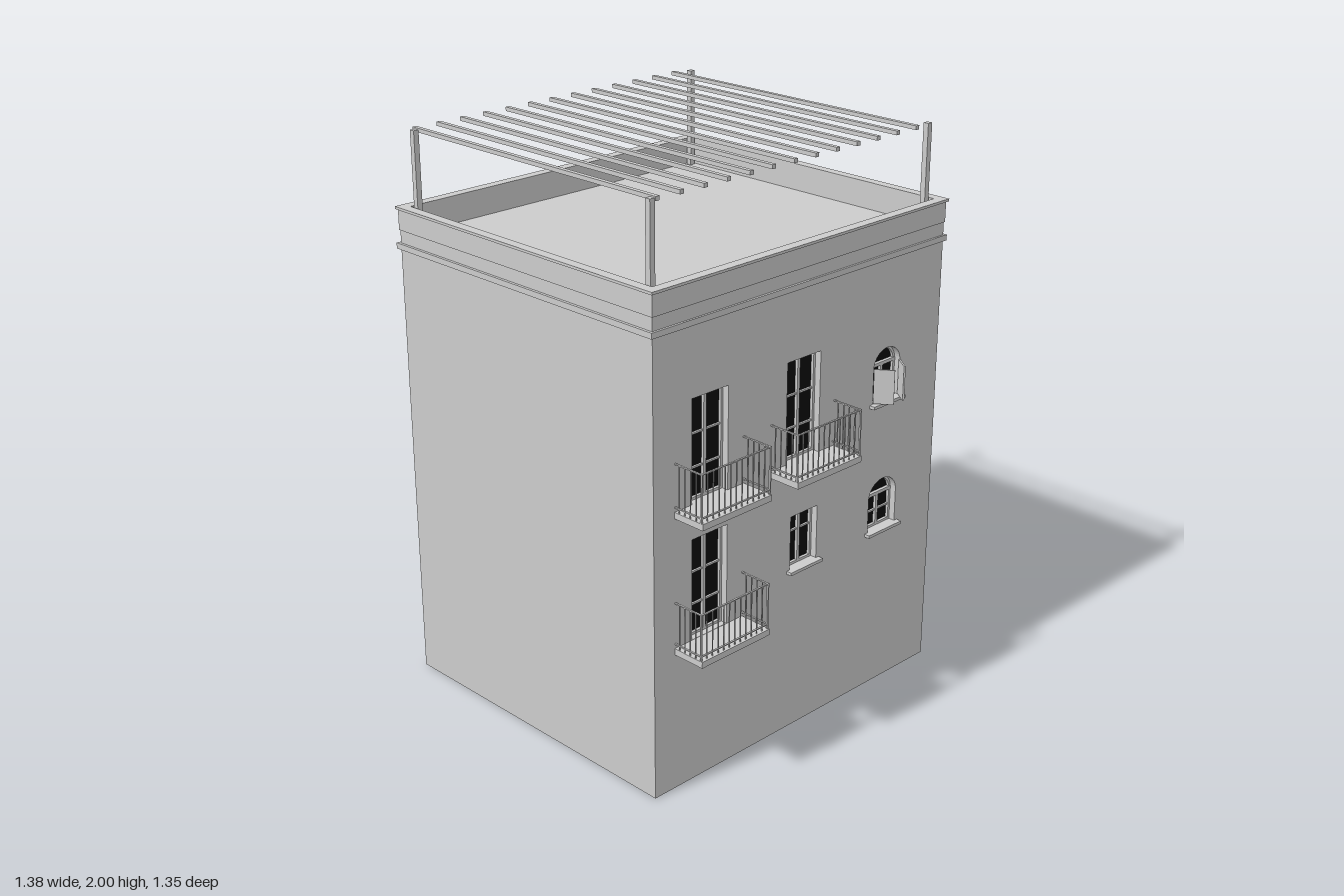
import * as THREE from 'three';

const plaster = new THREE.MeshStandardMaterial({ color: 0xcccccc });
plaster.name = 'plaster grey';
const glass = new THREE.MeshStandardMaterial({ color: 0x0d0d0d });
glass.name = 'dark glass';

const FRONT = 0.55, BACK = -0.663, RECESS = 0.035, HALF = 0.68;
const MID = (FRONT + BACK) / 2, DEPTH = FRONT - BACK;

function add(parent, name, geometry, material = plaster) {
  const mesh = new THREE.Mesh(geometry, material);
  mesh.name = name;
  parent.add(mesh);
  return mesh;
}

// Box given by its lower and upper bounds
function box(parent, name, x0, x1, y0, y1, z0, z1, material) {
  const m = add(parent, name, new THREE.BoxGeometry(x1 - x0, y1 - y0, z1 - z0), material);
  m.position.set((x0 + x1) / 2, (y0 + y1) / 2, (z0 + z1) / 2);
  return m;
}

function outline(target, x0, x1, y0, y1) {
  target.moveTo(x0, y0);
  target.lineTo(x1, y0);
  target.lineTo(x1, y1);
  target.lineTo(x0, y1);
  target.closePath();
  return target;
}

// Opening outline: straight sides up to the spring line, then an optional arch
function opening(target, o, inset = 0) {
  const x0 = o.x0 + inset, x1 = o.x1 - inset, y0 = o.y0 + inset, y1 = o.y1 - inset;
  if (!o.spring) return outline(target, x0, x1, y0, y1);
  target.moveTo(x0, y0);
  target.lineTo(x1, y0);
  target.lineTo(x1, o.spring);
  target.absellipse((x0 + x1) / 2, o.spring, (x1 - x0) / 2, y1 - o.spring, 0, Math.PI, false, 0);
  target.closePath();
  return target;
}

// Rectangular ring lying flat, used for the parapet and its cap
function ring(parent, name, outX, outZ, inX, inZ, y0, y1) {
  const shape = outline(new THREE.Shape(), -outX, outX, -outZ, outZ);
  shape.holes.push(outline(new THREE.Path(), -inX, inX, -inZ, inZ));
  const m = add(parent, name, new THREE.ExtrudeGeometry(shape, { depth: y1 - y0, bevelEnabled: false }));
  m.rotation.x = -Math.PI / 2;
  m.position.set(0, y0, MID);
}

// Glass, frame and glazing bars set back inside an opening
function glazing(parent, o) {
  const g = new THREE.Group();
  g.name = o.name;
  parent.add(g);
  const zBack = FRONT - RECESS;
  const pane = add(g, 'glass', new THREE.ShapeGeometry(opening(new THREE.Shape(), o), 10), glass);
  pane.position.z = zBack + 0.002;

  const frameShape = opening(new THREE.Shape(), o);
  frameShape.holes.push(opening(new THREE.Path(), o, 0.009));
  const frame = add(g, 'frame', new THREE.ExtrudeGeometry(frameShape, { depth: 0.012, bevelEnabled: false, curveSegments: 10 }));
  frame.position.z = zBack;

  const cx = (o.x0 + o.x1) / 2, top = o.spring || o.y1;
  box(g, 'centreStile', cx - 0.006, cx + 0.006, o.y0, top, zBack, zBack + 0.012);
  for (const y of o.bars)
    box(g, 'glazingBar', o.x0, o.x1, y - 0.003, y + 0.003, zBack, zBack + 0.009);
  if (o.spring) box(g, 'transom', o.x0, o.x1, o.spring - 0.006, o.spring + 0.006, zBack, zBack + 0.014);
  if (o.sill) box(g, 'sill', o.x0 - 0.014, o.x1 + 0.014, o.y0 - 0.011, o.y0, zBack, FRONT + 0.02);
}

// Slab with a railing on three sides
function balcony(parent, cx, top) {
  const g = new THREE.Group();
  g.name = 'balcony';
  parent.add(g);
  const w = 0.154, zOut = 0.665, r = 0.002;
  box(g, 'slab', cx - w, cx + w, top - 0.022, top, FRONT, 0.673);
  for (const y of [top + 0.016, top + 0.162]) {
    box(g, 'frontRail', cx - w, cx + w, y - r, y + r, zOut - 0.003, zOut + 0.003);
    for (const s of [-1, 1])
      box(g, 'sideRail', cx + s * (w - 0.003) - 0.003, cx + s * (w - 0.003) + 0.003, y - r, y + r, FRONT, zOut);
  }
  const bar = (x, z, t) => box(g, 'baluster', x - t, x + t, top, top + 0.162, z - t, z + t);
  for (let i = 0; i <= 12; i++) bar(cx - 0.151 + i * 0.302 / 12, zOut, i % 12 ? 0.0016 : 0.003);
  for (const s of [-1, 1])
    for (let i = 1; i <= 4; i++) bar(cx + s * 0.151, zOut - i * 0.024, 0.0016);
}

export function createModel() {
  const model = new THREE.Group();
  model.name = 'building';

  const openings = [
    { name: 'upperLeftDoor', x0: -0.515, x1: -0.357, y0: 0.997, y1: 1.352, bars: [1.105, 1.22] },
    { name: 'upperMiddleDoor', x0: -0.087, x1: 0.071, y0: 0.997, y1: 1.352, bars: [1.105, 1.22] },
    { name: 'lowerLeftDoor', x0: -0.515, x1: -0.357, y0: 0.52, y1: 0.876, bars: [0.628, 0.743] },
    { name: 'middleWindow', x0: -0.056, x1: 0.074, y0: 0.605, y1: 0.8, bars: [0.73], sill: true },
    { name: 'upperArchedWindow', x0: 0.342, x1: 0.478, y0: 1.086, y1: 1.275, spring: 1.212, bars: [1.15], sill: true },
    { name: 'lowerArchedWindow', x0: 0.342, x1: 0.486, y0: 0.605, y1: 0.792, spring: 0.728, bars: [0.665], sill: true },
  ];

  // Main block and pierced front wall
  box(model, 'mainBlock', -HALF, HALF, 0, 1.64, BACK, FRONT - RECESS);
  const wall = outline(new THREE.Shape(), -HALF, HALF, 0, 1.64);
  for (const o of openings) wall.holes.push(opening(new THREE.Path(), o));
  const facade = add(model, 'frontWall', new THREE.ExtrudeGeometry(wall, { depth: RECESS, bevelEnabled: false, curveSegments: 10 }));
  facade.position.z = FRONT - RECESS;

  // Cornice, parapet and cap
  const hz = DEPTH / 2;
  box(model, 'cornice', -0.69, 0.69, 1.59, 1.61, BACK - 0.012, FRONT + 0.008);
  ring(model, 'parapetBase', HALF, hz, 0.654, hz - 0.027, 1.64, 1.655);
  ring(model, 'parapet', 0.683, hz + 0.003, 0.654, hz - 0.027, 1.655, 1.727);
  ring(model, 'parapetCap', 0.69, hz + 0.01, 0.654, hz - 0.027, 1.727, 1.736);

  // Windows, doors and balconies
  for (const o of openings) glazing(model, o);
  balcony(model, -0.437, 0.997);
  balcony(model, -0.008, 0.997);
  balcony(model, -0.437, 0.519);

  // Half-open shutters on the upper arched window
  for (const s of [-1, 1]) {
    const hinge = new THREE.Group();
    hinge.name = 'shutter';
    hinge.position.set(0.41 + s * 0.066, 0, FRONT);
    hinge.rotation.y = s * 0.95;
    box(hinge, 'shutterPanel', s < 0 ? 0 : -0.07, s < 0 ? 0.07 : 0, 1.09, 1.214, -0.003, 0.003);
    model.add(hinge);
  }

  // Roof pergola: four posts carrying a row of slats
  for (const x of [-0.635, 0.635])
    for (const z of [0.497, -0.617])
      box(model, 'pergolaPost', x - 0.01, x + 0.01, 1.64, 1.995, z - 0.01, z + 0.01);
  for (let i = 0; i < 13; i++) {
    const x = -0.618 + i * 0.0984;
    box(model, 'pergolaSlat', x - 0.008, x + 0.008, 1.986, 2, -0.637, 0.512);
  }
  return model;
}
